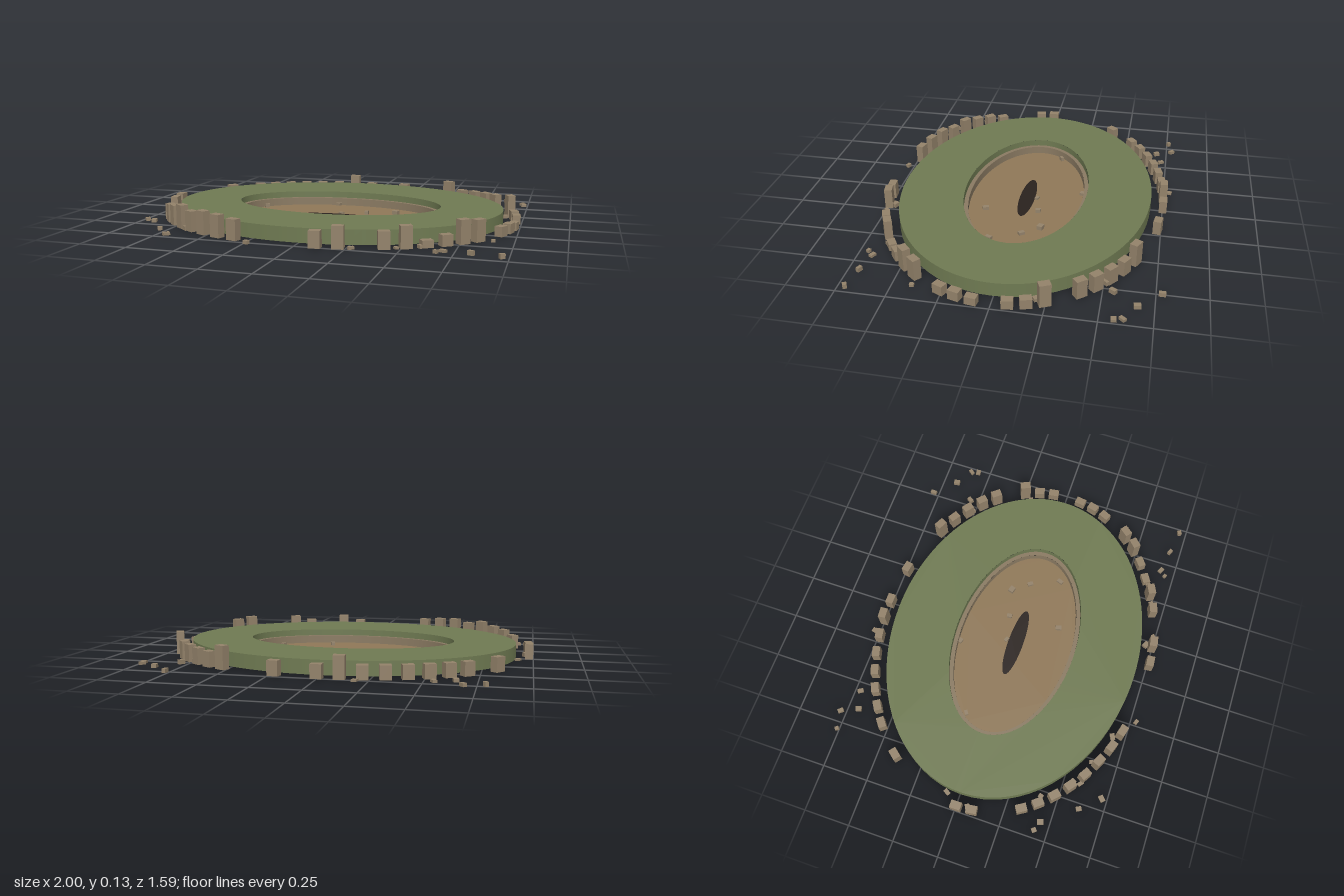
import * as THREE from 'three';

const mat = (color) => new THREE.MeshStandardMaterial({ color, side: THREE.DoubleSide });
const green = mat(0x6f7a52), stone = mat(0x93826a), podiumStone = mat(0x8a7a62);
const sand = mat(0x8f7858), dark = mat(0x2a221e);
const SEG = 72, CZ = 0.005;

let seed = 7;
const rand = () => (seed = (seed * 16807) % 2147483647) / 2147483647;

function add(parent, name, geometry, material, x = 0, y = 0, z = 0, turn = 0) {
  const mesh = new THREE.Mesh(geometry, material);
  mesh.name = name;
  mesh.position.set(x, y, z);
  mesh.rotation.y = turn;
  parent.add(mesh);
  return mesh;
}

// Upright elliptical wall, open at both ends
function wall(parent, name, rx, rz, y0, y1, material) {
  const g = new THREE.CylinderGeometry(1, 1, y1 - y0, SEG, 1, true).scale(rx, 1, rz);
  return add(parent, name, g, material, 0, (y0 + y1) / 2, CZ);
}

// Flat elliptical disc or ring facing up
function flat(parent, name, rx, rz, y, material, holeX, holeZ) {
  const shape = new THREE.Shape().absellipse(0, 0, rx, rz, 0, Math.PI * 2);
  if (holeX) shape.holes.push(new THREE.Path().absellipse(0, 0, holeX, holeZ, 0, Math.PI * 2));
  const g = new THREE.ShapeGeometry(shape, SEG).rotateX(-Math.PI / 2);
  return add(parent, name, g, material, 0, y, CZ);
}

// Heights of the surviving piers, by step round the ellipse from the back; 0 is a gap
const PIERS = [
  0.075, 0.12, 0.075, 0.075, 0.075, 0.075, 0.075, 0.075, 0, 0.08, 0, 0, 0, 0,
  0.085, 0.08, 0, 0, 0.08, 0.1, 0.11, 0.127, 0.11, 0.125, 0.12, 0.11, 0, 0,
  0, 0.088, 0.115, 0, 0.09, 0.115, 0.04, 0.06, 0.125, 0.115, 0, 0.055, 0.055, 0.045,
  0, 0.05, 0.055, 0.125, 0, 0.1, 0.095, 0.09, 0.085, 0.125, 0, 0, 0.08, 0];

// Fallen blocks as x, z pairs
const OUTSIDE = [
  -0.79, -0.76, -0.69, -0.78, -0.65, -0.69, -0.55, -0.72, -0.19, -0.78, 0.76, -0.78, 0.87, -0.67,
  0.78, -0.55, 0.97, -0.61, 0.98, -0.57, 0.72, -0.51, 0.9, -0.2, -0.92, -0.07, -0.96, 0.06,
  -0.78, 0.41, -0.96, 0.43, -0.91, 0.45, -0.78, 0.62, -0.69, 0.72, -0.65, 0.55, -0.65, 0.59,
  -0.52, 0.61, -0.35, 0.68, -0.23, 0.78, 0.22, 0.71, 0.28, 0.74, 0.48, 0.67, 0.59, 0.62,
  0.7, 0.67, 0.67, 0.7, 0.83, 0.69, 0.97, 0.71, 0.9, 0.4];
const INSIDE = [
  -0.48, -0.12, 0, -0.05, 0.14, -0.08, 0.3, -0.12, 0.37, -0.03, 0.44, 0.13, 0.16, 0.21, -0.09, -0.3];

function rubble(parent, name, spots, y) {
  for (let i = 0; i < spots.length; i += 2) {
    const w = 0.018 + rand() * 0.018, h = 0.01 + rand() * 0.014, d = 0.018 + rand() * 0.012;
    add(parent, name, new THREE.BoxGeometry(w, h, d), stone, spots[i], y + h / 2, spots[i + 1], rand() * 3);
  }
}

export function createModel() {
  const model = new THREE.Group();
  model.name = 'ruinedArena';

  // Grassy bank, hollow underneath
  const bank = new THREE.Group();
  bank.name = 'grassBank';
  model.add(bank);
  flat(bank, 'bankTop', 0.908, 0.69, 0.08, green, 0.574, 0.339);
  wall(bank, 'bankOuterWall', 0.908, 0.69, 0.005, 0.08, green);
  wall(bank, 'bankInnerWall', 0.574, 0.339, 0.005, 0.08, green);

  // Low stone kerb round the arena
  const kerb = new THREE.Group();
  kerb.name = 'arenaKerb';
  model.add(kerb);
  wall(kerb, 'kerbOuterFace', 0.573, 0.338, 0, 0.045, podiumStone);
  wall(kerb, 'kerbInnerFace', 0.55, 0.315, 0, 0.045, podiumStone);
  flat(kerb, 'kerbTop', 0.573, 0.338, 0.045, podiumStone, 0.55, 0.315);

  // Sand floor with the dark central pit
  flat(model, 'arenaFloor', 0.552, 0.317, 0.003, sand);
  flat(model, 'centralPit', 0.2, 0.043, 0.006, dark);

  // Broken outer ring of piers
  const ring = new THREE.Group();
  ring.name = 'outerPiers';
  model.add(ring);
  PIERS.forEach((h, k) => {
    if (!h) return;
    const t = (k / PIERS.length) * Math.PI * 2;
    const x = -0.978 * Math.sin(t), z = CZ - 0.757 * Math.cos(t);
    const turn = Math.atan2(0.757 * Math.sin(t), 0.978 * Math.cos(t));
    add(ring, 'pier', new THREE.BoxGeometry(0.058, h - 0.003, 0.042), stone, x, 0.003 + h / 2 - 0.0015, z, turn);
  });

  // Scattered fallen blocks
  const debris = new THREE.Group();
  debris.name = 'fallenBlocks';
  model.add(debris);
  rubble(debris, 'fallenBlock', OUTSIDE, 0.003);
  rubble(debris, 'arenaBlock', INSIDE, 0.003);
  const hidden = [];
  for (let i = 0; i < 20; i++) {
    const t = rand() * Math.PI * 2, r = 0.68 + rand() * 0.2;
    hidden.push(r * Math.cos(t), r * 0.74 * Math.sin(t));
  }
  rubble(debris, 'buriedBlock', hidden, 0.003);

  return model;
}
